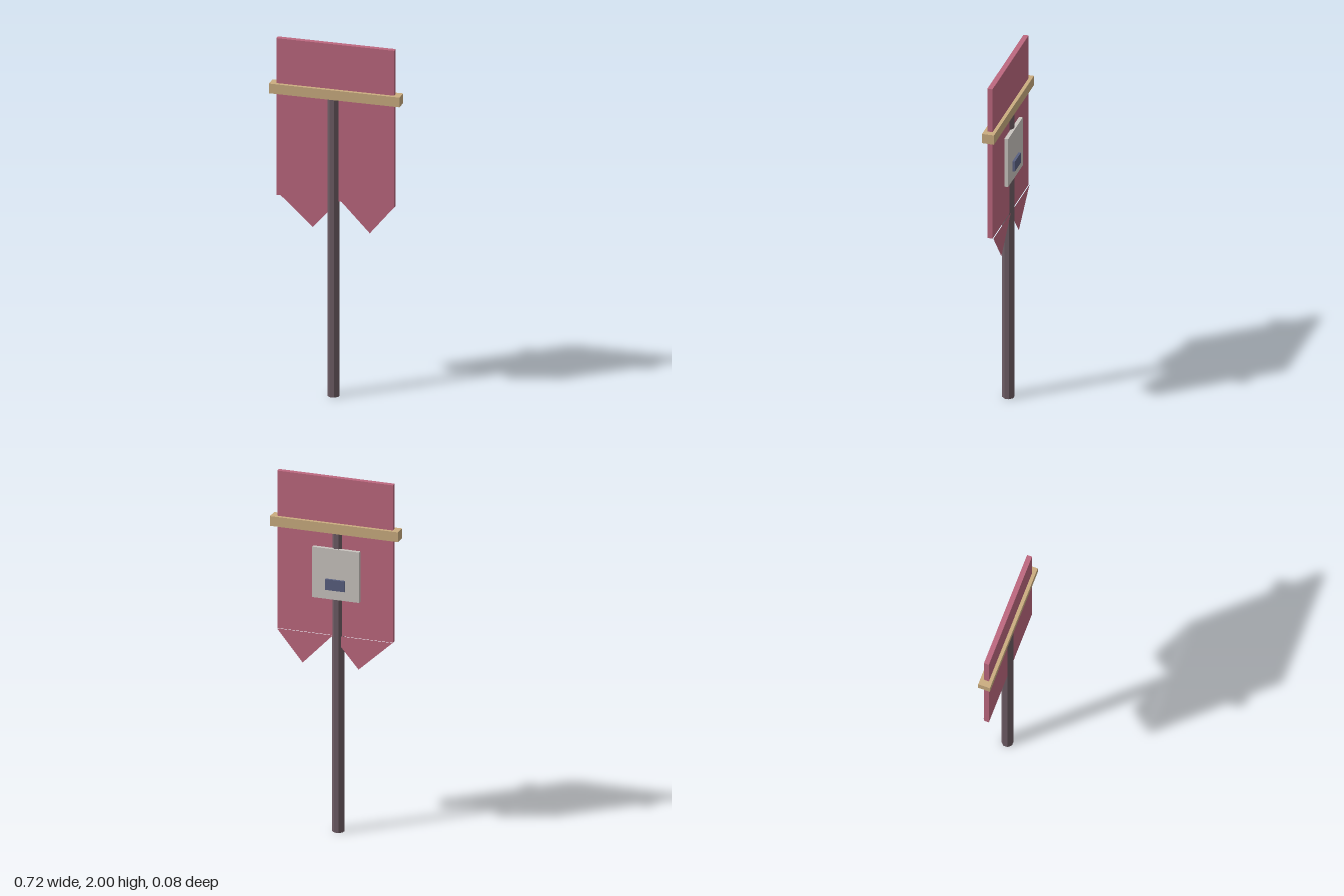
import * as THREE from 'three';

const mat = (name, color, extra = {}) => {
  const m = new THREE.MeshStandardMaterial({ color, ...extra });
  m.name = name;
  return m;
};

export function createModel() {
  const group = new THREE.Group();
  group.name = 'bannerOnPole';

  const cloth = mat('rose cloth', 0xbd687f, { side: THREE.DoubleSide });
  const wood = mat('tan wood', 0xcbad80);
  const poleMat = mat('dark pole', 0x6d5c64, { flatShading: true });
  const plateMat = mat('pale grey', 0xcac5c0);
  const blockMat = mat('slate blue', 0x596080);

  const add = (name, geometry, material) => {
    const mesh = new THREE.Mesh(geometry, material);
    mesh.name = name;
    group.add(mesh);
    return mesh;
  };
  // Box given by its lower and upper limits on each axis
  const box = (name, [x0, x1], [y0, y1], [z0, z1], material) =>
    add(name, new THREE.BoxGeometry(x1 - x0, y1 - y0, z1 - z0), material)
      .position.set((x0 + x1) / 2, (y0 + y1) / 2, (z0 + z1) / 2);

  // Eight-sided pole with a flat side to the front
  const pole = new THREE.CylinderGeometry(0.033, 0.033, 1.69, 8);
  pole.rotateY(Math.PI / 8);
  add('pole', pole, poleMat).position.set(-0.014, 0.845, 0.009);

  // Crossbar and the cloth passing through it
  box('crossbar', [-0.362, 0.36], [1.69, 1.745], [-0.026, 0.04], wood);
  box('bannerCloth', [-0.327, 0.325], [1.11, 2], [-0.007, 0.021], cloth);

  // Two pointed tails, single sheets just behind the cloth
  const tails = {
    rightTail: [[-0.327, 1.11], [-0.135, 0.935], [0.015, 1.11]],
    leftTail: [[0.01, 1.11], [0.18, 0.935], [0.325, 1.11]],
  };
  for (const [name, points] of Object.entries(tails)) {
    const shape = new THREE.Shape(points.map(([x, y]) => new THREE.Vector2(x, y)));
    add(name, new THREE.ShapeGeometry(shape), cloth).position.z = -0.012;
  }

  // Plate on the back with a small block on it
  box('backPlate', [-0.145, 0.12], [1.32, 1.605], [-0.031, -0.01], plateMat);
  box('backBlock', [-0.067, 0.042], [1.375, 1.435], [-0.044, -0.031], blockMat);

  return group;
}
